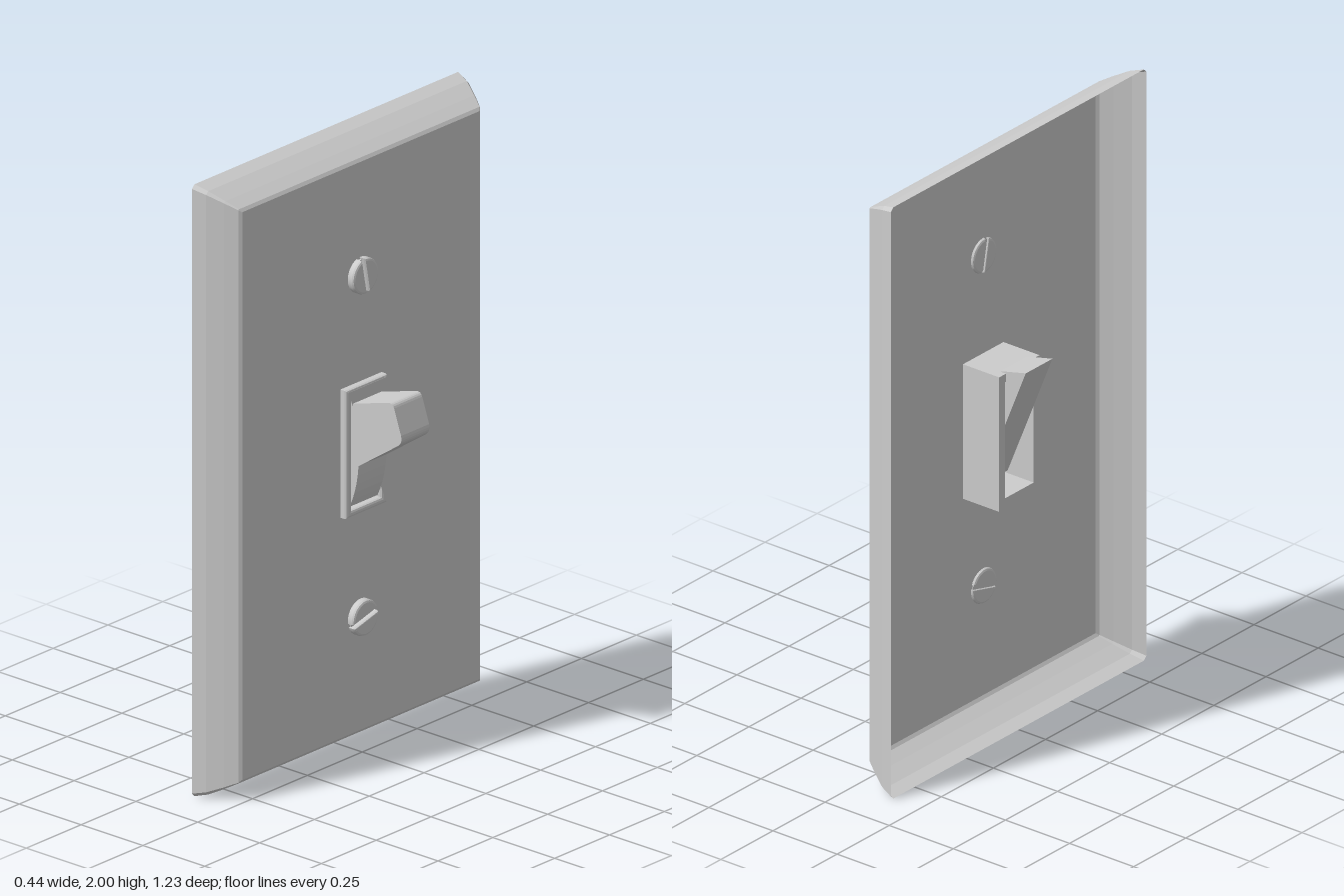
import * as THREE from 'three';

const mat = new THREE.MeshStandardMaterial({ color: 0xcccccc, flatShading: true });
const thin = new THREE.MeshStandardMaterial({ color: 0xcccccc, flatShading: true, side: THREE.DoubleSide });

const H = 1, W = 0.613, MID = 1; // plate half height, half width, centre height

function add(group, name, geo, material = mat) {
  const mesh = new THREE.Mesh(geo, material);
  mesh.name = name;
  group.add(mesh);
  return mesh;
}

// Rectangle path between two corners
function rect(path, w, y0, y1) {
  path.moveTo(-w, y0);
  path.lineTo(w, y0);
  path.lineTo(w, y1);
  path.lineTo(-w, y1);
  path.closePath();
  return path;
}

// Extrude a shape so that its depth runs along +x
function extrudeX(shape, x0, x1, bevel = 0) {
  const geo = new THREE.ExtrudeGeometry(shape, {
    depth: x1 - x0 - bevel, bevelEnabled: bevel > 0, bevelSize: bevel,
    bevelThickness: bevel, bevelOffset: -bevel, bevelSegments: 2, curveSegments: 20,
  });
  return geo.rotateY(Math.PI / 2).translate(x0, 0, 0);
}

// Rectangle outline with clipped corners, as [z, y] pairs
function clippedRect(inset) {
  const w = W - inset, h = H - inset, c = 0.012 * (1 - inset / 0.08);
  return [[w, c - h], [w, h - c], [w - c, h], [c - w, h], [-w, h - c], [-w, c - h], [c - w, -h], [w - c, -h]];
}

// Curved rim of the cover plate: stacked outlines, open at the back
function rimGeometry() {
  const profile = [[0, -0.145], [0.014, -0.1], [0.04, -0.05], [0.062, -0.012], [0.072, -0.005]];
  const pos = [], idx = [], n = 8;
  for (const [inset, x] of profile)
    for (const [z, y] of clippedRect(inset)) pos.push(x, y + MID, z);
  for (let r = 0; r < profile.length - 1; r++)
    for (let i = 0; i < n; i++) {
      const a = r * n + i, b = r * n + (i + 1) % n;
      idx.push(a, a + n, b, b, a + n, b + n);
    }
  const geo = new THREE.BufferGeometry();
  geo.setAttribute('position', new THREE.Float32BufferAttribute(pos, 3));
  geo.setIndex(idx);
  geo.computeVertexNormals();
  return geo;
}

// Domed screw head made of two halves with a slot between them
function makeScrew(name, y, angle) {
  const screw = new THREE.Group();
  screw.name = name;
  const r = 0.058, gap = 0.007, start = Math.asin(gap / r);
  for (const side of [0, 1]) {
    const half = new THREE.Shape();
    half.absarc(0, 0, r, start, Math.PI - start, false);
    half.closePath();
    const mesh = add(screw, 'screwHeadHalf', extrudeX(half, 0, 0.025, 0.008));
    mesh.rotation.x = side * Math.PI;
  }
  const floor = new THREE.CylinderGeometry(r - 0.006, r - 0.006, 0.008, 28);
  add(screw, 'slotFloor', floor.rotateZ(Math.PI / 2).translate(0.003, 0, 0));
  screw.position.set(-0.006, y, 0.002);
  screw.rotation.x = angle;
  return screw;
}

export function createModel() {
  const model = new THREE.Group();
  model.name = 'lightSwitch';

  // Cover plate
  const plate = new THREE.Group();
  plate.name = 'coverPlate';
  add(plate, 'plateRim', rimGeometry(), thin);
  const face = rect(new THREE.Shape(), W - 0.072, 0.072, 2 - 0.072);
  face.holes.push(rect(new THREE.Path(), 0.07, 0.81, 1.2));
  add(plate, 'plateFace', new THREE.ShapeGeometry(face).rotateY(Math.PI / 2).translate(-0.005, 0, 0), thin);
  model.add(plate);

  // Housing behind the plate and raised frame in front
  const housing = rect(new THREE.Shape(), 0.097, 0.775, 1.23);
  housing.holes.push(rect(new THREE.Path(), 0.069, 0.81, 1.203));
  add(model, 'switchHousing', extrudeX(housing, -0.148, -0.007));
  const frame = rect(new THREE.Shape(), 0.094, 0.793, 1.212);
  frame.holes.push(rect(new THREE.Path(), 0.068, 0.816, 1.2));
  add(model, 'switchFrame', extrudeX(frame, -0.012, 0.02, 0.008));

  // Toggle: side profile in x and y, extruded across z
  const t = new THREE.Shape();
  t.moveTo(-0.225, 1.255);
  t.lineTo(-0.11, 0.97);
  t.lineTo(-0.05, 0.822);
  t.lineTo(0.005, 0.822);
  t.quadraticCurveTo(0.035, 0.88, 0.042, 0.965);
  t.lineTo(0.2, 1.073);
  t.quadraticCurveTo(0.22, 1.087, 0.214, 1.11);
  t.lineTo(0.186, 1.192);
  t.quadraticCurveTo(0.18, 1.21, 0.16, 1.204);
  t.lineTo(0.015, 1.162);
  t.lineTo(0, 1.195);
  t.lineTo(-0.145, 1.236);
  const toggle = new THREE.ExtrudeGeometry(t, { depth: 0.128, bevelEnabled: false, curveSegments: 5 });
  add(model, 'toggle', toggle.translate(0, 0, -0.064));

  // Screws
  model.add(makeScrew('upperScrew', 1.56, Math.PI / 2 + 0.19));
  model.add(makeScrew('lowerScrew', 0.443, 0.25));
  return model;
}
